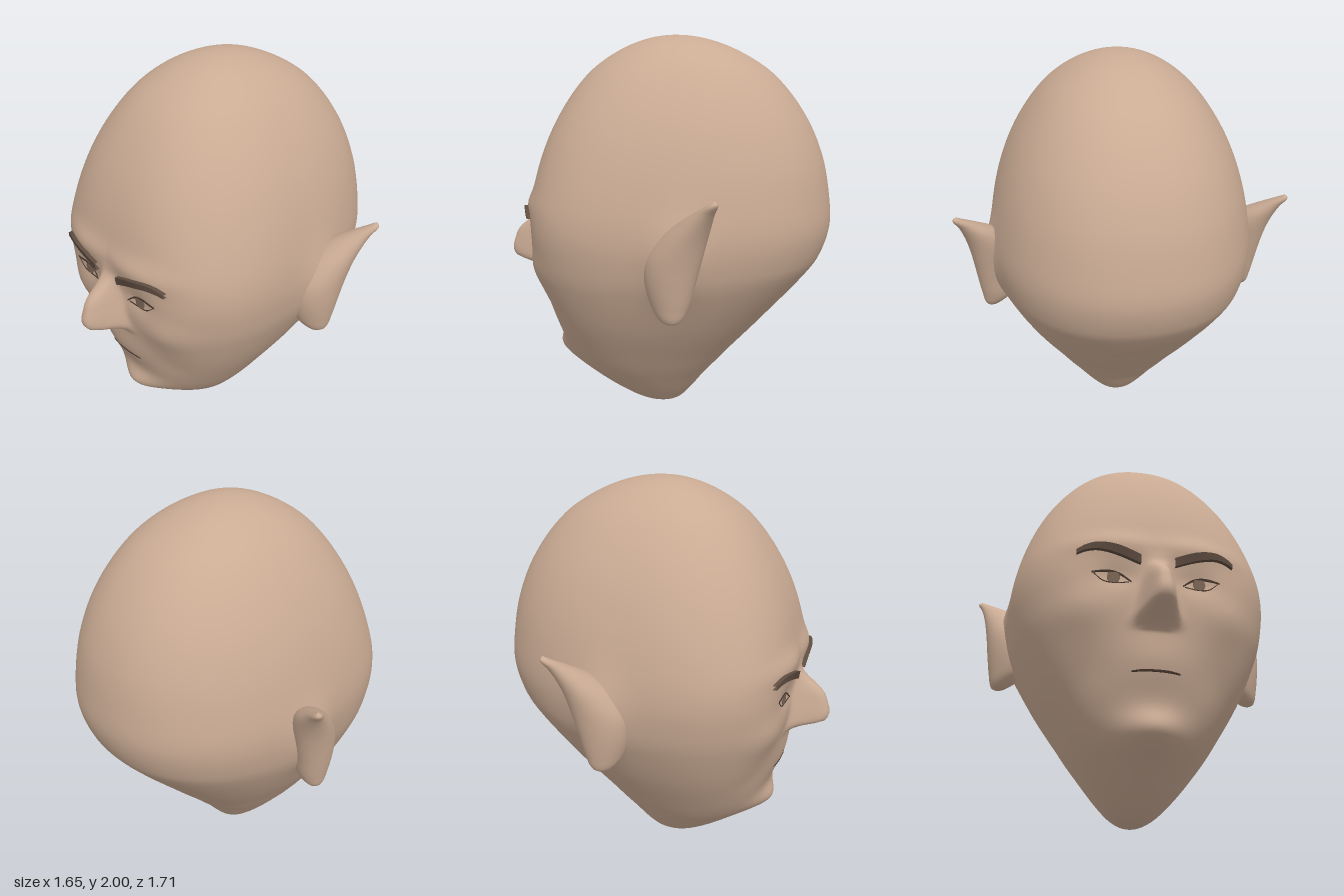
import * as THREE from 'three';

const skin = new THREE.MeshStandardMaterial({ color: 0xcaab94 });
skin.name = 'skin';
const browBrown = new THREE.MeshStandardMaterial({ color: 0x5e4c40, side: THREE.DoubleSide });
browBrown.name = 'browBrown';
const irisBrown = new THREE.MeshStandardMaterial({ color: 0x7a6454, side: THREE.DoubleSide });
irisBrown.name = 'irisBrown';
const lineBrown = new THREE.MeshStandardMaterial({ color: 0x4a3a30, side: THREE.DoubleSide });
lineBrown.name = 'lineBrown';

// Smooth interpolation of table rows [key, ...values]
function sample(rows, k) {
  let i = 0;
  while (i < rows.length - 2 && k > rows[i + 1][0]) i++;
  const a = rows[i], b = rows[i + 1];
  const p = rows[Math.max(i - 1, 0)], q = rows[Math.min(i + 2, rows.length - 1)];
  const h = b[0] - a[0], t = THREE.MathUtils.clamp((k - a[0]) / h, 0, 1);
  return a.slice(1).map((va, j) => {
    const vb = b[j + 1];
    const ma = h * (vb - p[j + 1]) / (b[0] - p[0]);
    const mb = h * (q[j + 1] - va) / (q[0] - a[0]);
    const t2 = t * t, t3 = t2 * t;
    return (2 * t3 - 3 * t2 + 1) * va + (t3 - 2 * t2 + t) * ma + (3 * t2 - 2 * t3) * vb + (t3 - t2) * mb;
  });
}

// Closed skin over rings, from the bottom up; point(u, v) gives [x, y, z]
function loft(rows, cols, point) {
  const pos = [], index = [];
  for (let i = 0; i <= rows; i++) for (let j = 0; j < cols; j++) pos.push(...point(i / rows, j / cols));
  for (let i = 0; i < rows; i++) for (let j = 0; j < cols; j++) {
    const a = i * cols + j, b = i * cols + (j + 1) % cols;
    index.push(a, b, b + cols, a, b + cols, a + cols);
  }
  const g = new THREE.BufferGeometry();
  g.setAttribute('position', new THREE.Float32BufferAttribute(pos, 3));
  g.setIndex(index);
  g.computeVertexNormals();
  return g;
}

// Skull sections: height, half width, front z, back z
const angleOf = y => Math.acos(THREE.MathUtils.clamp(1 - y, -1, 1));
const skull = [
  [0, 0, 0.01, 0.01], [0.03, 0.095, 0.145, -0.08], [0.1, 0.175, 0.27, -0.145], [0.2, 0.26, 0.4, -0.22],
  [0.3, 0.335, 0.495, -0.305], [0.4, 0.4, 0.555, -0.39], [0.6, 0.52, 0.62, -0.565], [0.8, 0.61, 0.665, -0.735],
  [0.9, 0.638, 0.68, -0.805], [1.05, 0.655, 0.69, -0.85], [1.2, 0.643, 0.68, -0.842], [1.4, 0.598, 0.635, -0.8],
  [1.6, 0.52, 0.55, -0.71], [1.8, 0.39, 0.41, -0.55], [1.9, 0.283, 0.285, -0.405], [2, 0, -0.04, -0.04],
].map(([y, ...v]) => [angleOf(y), ...v]);
// Squareness of the front half by height; the back half is rounder
const square = [[0, 2], [0.4, 2.3], [0.8, 2.7], [1.1, 2.9], [1.4, 2.6], [2, 2.1]];
const backSquare = 2.2;
// Nose: height, projection, half width
const nose = [
  [0.75, 0, 0.1], [0.785, 0.055, 0.095], [0.83, 0.175, 0.08], [0.94, 0.157, 0.062],
  [0.99, 0.122, 0.055], [1.03, 0.07, 0.05], [1.08, 0.015, 0.05], [1.14, 0, 0.06],
];

const bell = (v, c, s) => Math.exp(-(((v - c) / s) ** 2));
// Depth of the widest line of a section
const middle = (w, f, b) => (f + b) / 2 + 0.09 * w;

// Facial relief added to the front of the skull
function relief(x, y) {
  const ax = Math.abs(x);
  let z = 0.085 * bell(ax, 0, 0.15) * bell(y, 0.31, 0.085);  // chin
  z += 0.02 * bell(ax, 0, 0.17) * bell(y, 0.6, 0.12);        // mouth mound
  z += 0.022 * bell(ax, 0.18, 0.2) * bell(y, 1.17, 0.06);    // brow ridge
  z -= 0.02 * bell(ax, 0.18, 0.1) * bell(y, 1.0, 0.06);      // eye sockets
  z += 0.02 * bell(ax, 0.34, 0.13) * bell(y, 0.84, 0.1);     // cheekbones
  z -= 0.012 * bell(ax, 0.28, 0.1) * bell(y, 0.58, 0.12);    // cheek hollows
  if (y > 0.75 && y < 1.14) {
    const [h, w] = sample(nose, y);
    z += Math.max(h, 0) * Math.exp(-((ax / w) ** 3.2));
  }
  return z;
}

// Front surface of the face at x, y
function faceZ(x, y) {
  const [w, f, b] = sample(skull, angleOf(y)), [n] = sample(square, y);
  const c = middle(w, f, b);
  return c + (f - c) * Math.max(0, 1 - Math.abs(x / w) ** n) ** (1 / n) + relief(x, y);
}

function headGeometry() {
  return loft(200, 180, (u, v) => {
    const y = 1 - Math.cos(Math.PI * u);
    const [w, f, b] = sample(skull, Math.PI * u);
    const t0 = v * Math.PI * 2, t = t0 - 0.6 * Math.sin(t0);
    const c = middle(w, f, b);
    const s = Math.sin(t), k = Math.cos(t);
    if (w < 1e-4) return [0, y, c];
    const d = k > 0 ? f - c : c - b, n = k > 0 ? sample(square, y)[0] : backSquare;
    const r = (Math.abs(s / w) ** n + Math.abs(k / d) ** n) ** (-1 / n);
    const x = r * s, z = c + r * k, front = THREE.MathUtils.smoothstep(k, 0, 0.35);
    // Swelling where each ear joins the skull
    const root = 0.045 * Math.sign(x) * s * s * bell(y, 0.97, 0.19) * bell(z, -0.11, 0.13);
    return [x + root, y, z + front * relief(x, y)];
  });
}

// Ear sections: height, inner x, outer x, front z, back z
const ear = [
  [0.7, 0.68, 0.682, -0.088, -0.092], [0.715, 0.635, 0.712, -0.045, -0.135], [0.78, 0.56, 0.728, 0.005, -0.175],
  [0.9, 0.55, 0.745, 0.035, -0.205], [1.0, 0.55, 0.757, 0.025, -0.23], [1.1, 0.565, 0.772, -0.04, -0.255],
  [1.18, 0.625, 0.788, -0.125, -0.275], [1.24, 0.71, 0.805, -0.2, -0.29], [1.285, 0.78, 0.825, -0.26, -0.305],
  [1.305, 0.808, 0.81, -0.29, -0.292],
];
function earGeometry(side) {
  return loft(48, 32, (u, v) => {
    const y = 1.0025 - 0.3025 * Math.cos(Math.PI * u);
    const [xi, xo, zf, zb] = sample(ear, y);
    const t = v * Math.PI * 2, dz = (zf - zb) / 2 * Math.cos(t);
    const x = (xi + xo) / 2 + (xo - xi) / 2 * side * Math.sin(t) - 0.16 * dz;
    return [side * x, y, (zf + zb) / 2 + dz];
  });
}

// Thin band laid on the face; rows are [x, top y, bottom y]
function band(rows, side, thick) {
  const n = 28, pos = [], index = [];
  const x0 = rows[0][0], x1 = rows[rows.length - 1][0];
  for (let i = 0; i <= n; i++) {
    const x = x0 + (x1 - x0) * i / n, [top, low] = sample(rows, x);
    for (const [y, lift] of [[top, -0.01], [top, thick], [low, thick], [low, -0.01]])
      pos.push(side * x, y, faceZ(x, y) + lift);
  }
  for (let i = 0; i < n; i++) for (let j = 0; j < 3; j++) {
    const a = i * 4 + j;
    index.push(a, a + 1, a + 5, a, a + 5, a + 4);
  }
  if (side > 0) index.reverse();
  const g = new THREE.BufferGeometry();
  g.setAttribute('position', new THREE.Float32BufferAttribute(pos, 3));
  g.setIndex(index);
  const flat = g.toNonIndexed();
  flat.computeVertexNormals();
  return flat;
}

const brow = [[0.08, 1.102, 1.06], [0.18, 1.138, 1.098], [0.275, 1.155, 1.122], [0.33, 1.147, 1.12], [0.37, 1.128, 1.108]];
const upperLid = [[0.12, 0.98, 0.972], [0.165, 1.016, 1.006], [0.22, 1.03, 1.019], [0.3, 1.02, 1.013]];
const lowerLid = [[0.13, 0.976, 0.972], [0.2, 0.971, 0.966], [0.25, 0.98, 0.975], [0.29, 1.013, 1.009]];
const iris = [-1, -0.9, -0.6, 0, 0.6, 0.9, 1].map(k => {
  const h = 0.03 * Math.sqrt(1 - k * k);
  return [0.2 + 0.03 * k, Math.min(0.997 + h, 1.02), 0.997 - h];
});
const mouth = [[-0.11, 0.566, 0.56], [-0.06, 0.572, 0.563], [0, 0.573, 0.564], [0.06, 0.572, 0.563], [0.11, 0.566, 0.56]];

export function createModel() {
  const model = new THREE.Group();
  model.name = 'baldHead';
  const add = (name, geometry, material) => {
    const mesh = new THREE.Mesh(geometry, material);
    mesh.name = name;
    model.add(mesh);
  };
  add('head', headGeometry(), skin);
  add('mouth', band(mouth, 1, 0.004), lineBrown);
  for (const [label, side] of [['left', 1], ['right', -1]]) {
    add(label + 'Ear', earGeometry(side), skin);
    add(label + 'Eyebrow', band(brow, side, 0.02), browBrown);
    add(label + 'Iris', band(iris, side, 0.004), irisBrown);
    add(label + 'UpperLid', band(upperLid, side, 0.004), lineBrown);
    add(label + 'LowerLid', band(lowerLid, side, 0.003), lineBrown);
  }
  return model;
}
